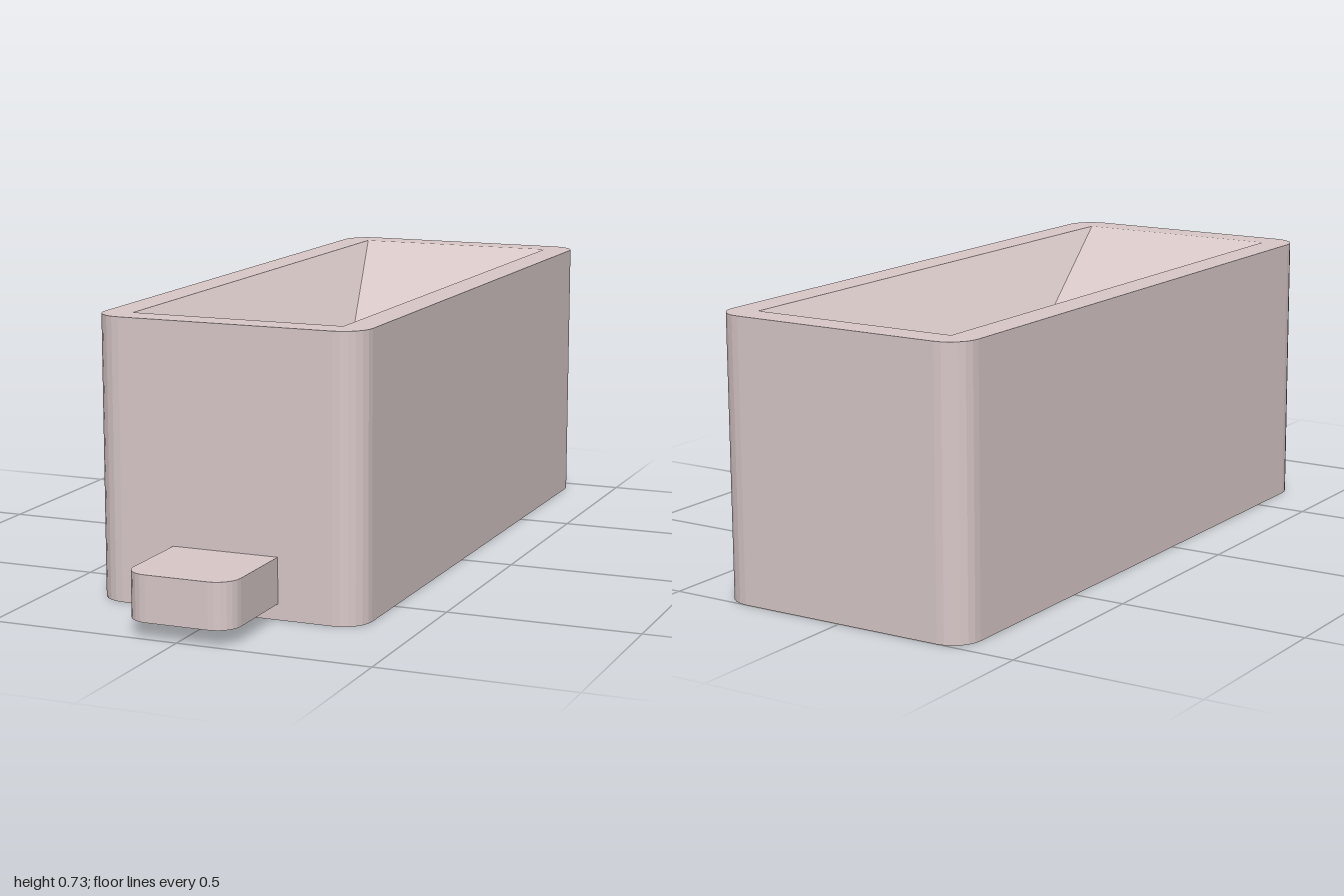
import * as THREE from 'three';
import { mergeGeometries } from 'three/addons/utils/BufferGeometryUtils.js';

const HEIGHT = 0.727;
const CENTRE_Z = -0.137;

// Plan outline centred on the origin, counter-clockwise, corners rounded in flat facets
function outline(halfX, halfZ, radius = 0, steps = 6) {
  const points = [];
  const corners = [[1, -1], [1, 1], [-1, 1], [-1, -1]];
  corners.forEach(([sx, sy], c) => {
    const n = radius ? steps : 0;
    for (let i = 0; i <= n; i++) {
      const a = (c - 1 + (n ? i / n : 0)) * Math.PI / 2;
      points.push(new THREE.Vector2(
        sx * (halfX - radius) + radius * Math.cos(a),
        sy * (halfZ - radius) + radius * Math.sin(a)));
    }
  });
  return points;
}

// Flat faces joining a stack of [outline, height] rings; faces outward going up, inward going down
function loft(rings) {
  const pos = [];
  for (let r = 0; r < rings.length - 1; r++) {
    const [lower, h0] = rings[r];
    const [upper, h1] = rings[r + 1];
    lower.forEach((a, i) => {
      const j = (i + 1) % lower.length;
      const b = lower[j], c = upper[j], d = upper[i];
      pos.push(a.x, a.y, h0, b.x, b.y, h0, c.x, c.y, h1);
      pos.push(a.x, a.y, h0, c.x, c.y, h1, d.x, d.y, h1);
    });
  }
  const g = new THREE.BufferGeometry();
  g.setAttribute('position', new THREE.Float32BufferAttribute(pos, 3));
  g.computeVertexNormals();
  return g;
}

// Flat cap at a height, optionally with an opening
function cap(points, height, { hole = null, down = false } = {}) {
  const shape = new THREE.Shape(points);
  if (hole) shape.holes.push(new THREE.Path(hole));
  const g = new THREE.ShapeGeometry(shape).toNonIndexed();
  g.deleteAttribute('uv');
  if (down) g.rotateX(Math.PI);
  return g.translate(0, 0, height);
}

export function createModel() {
  const group = new THREE.Group();
  const material = new THREE.MeshStandardMaterial({ color: 0xd9c8c8 });

  const add = (name, geometry, y, z) => {
    const mesh = new THREE.Mesh(geometry.rotateX(-Math.PI / 2), material);
    mesh.name = name;
    mesh.position.set(0, y, z);
    group.add(mesh);
  };

  const outer = outline(0.361, 0.863, 0.075);
  const opening = outline(0.283, 0.785);
  const throat = outline(0.056, 0.063);

  // Rounded box: side walls, underside and top rim
  add('body', mergeGeometries([
    loft([[outer, 0], [outer, HEIGHT]]),
    cap(outer, 0, { down: true }),
    cap(outer, HEIGHT, { hole: opening }),
  ]), 0, CENTRE_Z);

  // Sloped funnel leading into a narrow shaft with a closed floor
  const shaftFloor = 0.16;
  add('hopper', mergeGeometries([
    loft([[opening, HEIGHT], [throat, 0.46], [throat, shaftFloor]]),
    cap(throat, shaftFloor),
  ]), 0, CENTRE_Z);

  // Rounded tab sticking out low on the front
  const tab = new THREE.ExtrudeGeometry(
    new THREE.Shape(outline(0.142, 0.2, 0.06)),
    { depth: 0.118, bevelEnabled: false });
  add('frontTab', tab, 0.041, 0.8);

  return group;
}
